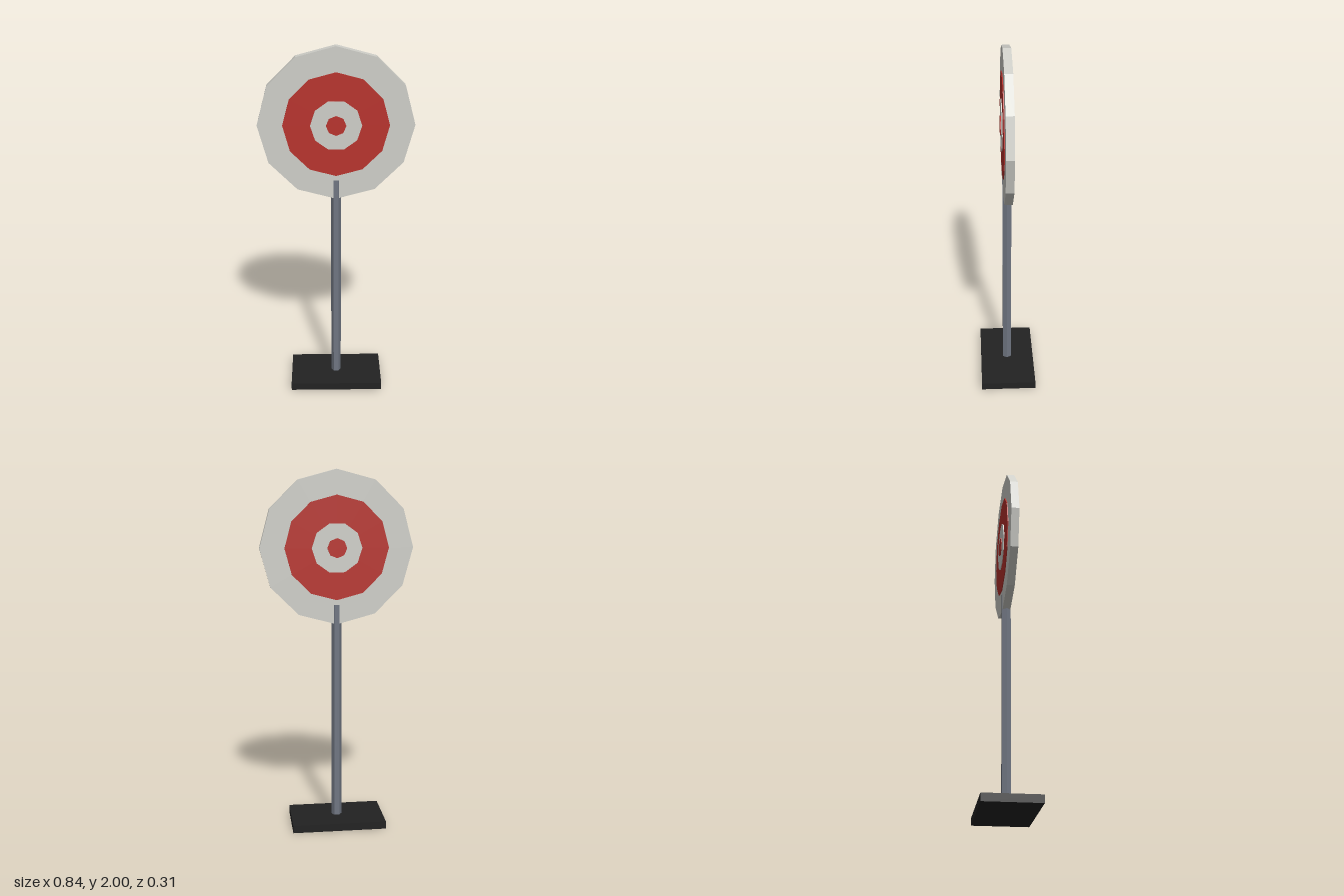
import * as THREE from 'three';

export function createModel() {
  const mat = (name, color) => {
    const m = new THREE.MeshStandardMaterial({ color, flatShading: true });
    m.name = name;
    return m;
  };
  const white = mat('offWhite', 0xcfcfc9);
  const red = mat('red', 0xb8322c);
  const steel = mat('steelGrey', 0x707682);
  const black = mat('black', 0x222222);

  const group = new THREE.Group();
  group.name = 'targetStand';
  const add = (name, geometry, material, y) => {
    const mesh = new THREE.Mesh(geometry, material);
    mesh.name = name;
    mesh.position.y = y;
    group.add(mesh);
  };

  // Base plate
  add('base', new THREE.BoxGeometry(0.526, 0.043, 0.314), black, 0.0215);

  // Six-sided pole with corners towards the left and right
  const poleTop = 1.267;
  const pole = new THREE.CylinderGeometry(0.028, 0.028, poleTop - 0.04, 6).rotateY(Math.PI / 2);
  add('pole', pole, steel, (poleTop + 0.04) / 2);

  // Target: nested discs, each smaller one slightly thicker so it shows on both faces
  const discs = [
    ['targetBoard', 0.42, 0.044, 12, white],
    ['outerRing', 0.285, 0.054, 12, red],
    ['innerRing', 0.138, 0.064, 10, white],
    ['bullseye', 0.054, 0.074, 8, red],
  ];
  for (const [name, radius, depth, sides, material] of discs) {
    const disc = new THREE.CylinderGeometry(radius, radius, depth, sides)
      .rotateY(Math.PI / 2)
      .rotateX(Math.PI / 2);
    add(name, disc, material, 1.58);
  }

  return group;
}
